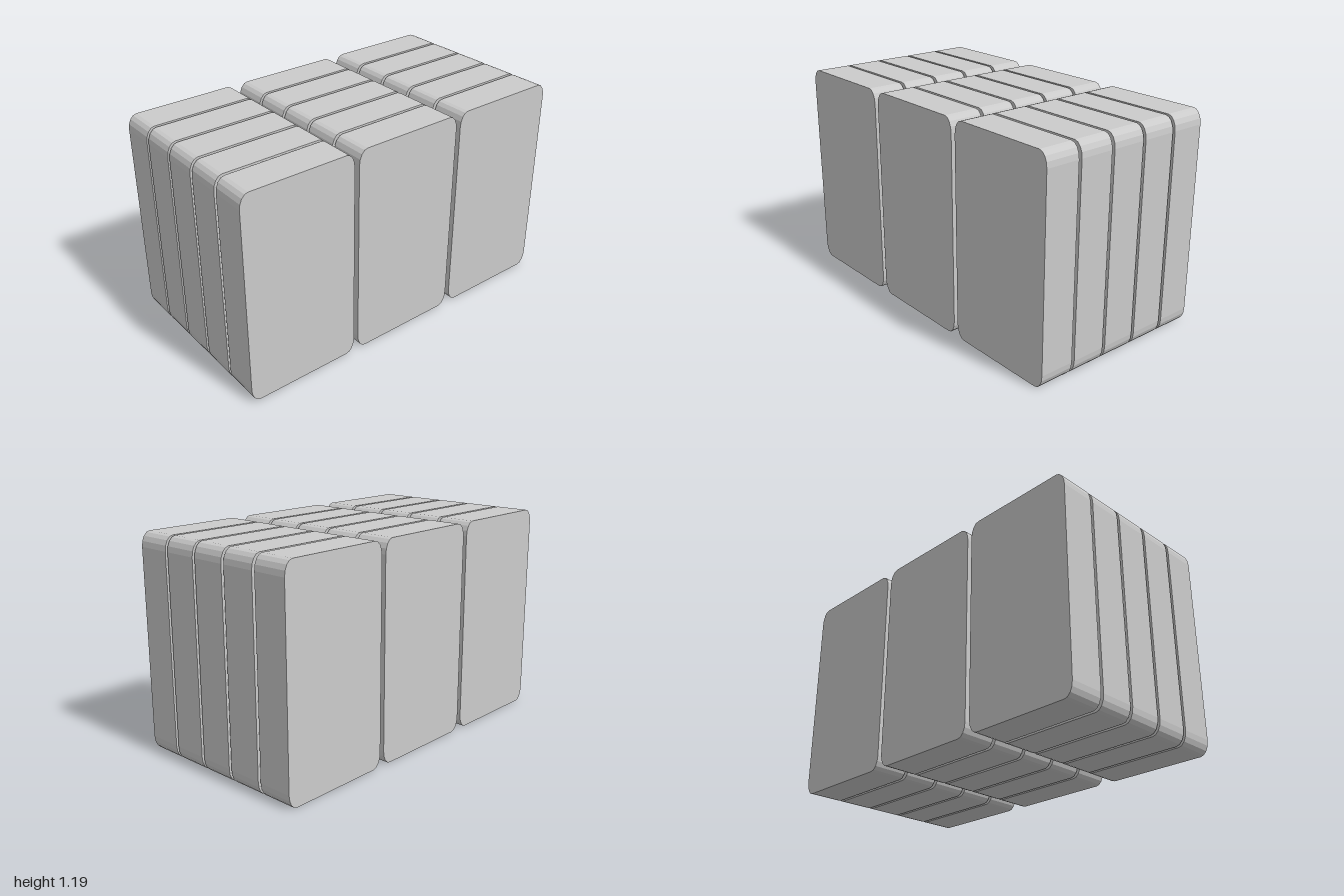
import * as THREE from 'three';

const COLUMNS = 5, ROWS = 3;
const WIDTH = 0.195, HEIGHT = 1.19, DEPTH = 0.648;
const PITCH_X = 0.2125, PITCH_Z = 0.676;
const CORNER_Z = 0.05, CORNER_Y = 0.078;

// Slab profile: a rectangle with faceted elliptical corners, extruded across x
function slabGeometry() {
  const cz = DEPTH / 2 - CORNER_Z, cy = HEIGHT / 2 - CORNER_Y;
  const points = [];
  [[1, 1], [-1, 1], [-1, -1], [1, -1]].forEach(([sz, sy], corner) => {
    for (let i = 0; i <= 4; i++) {
      const a = (corner + i / 4) * Math.PI / 2;
      points.push(new THREE.Vector2(sz * cz + CORNER_Z * Math.cos(a), sy * cy + CORNER_Y * Math.sin(a)));
    }
  });
  const geometry = new THREE.ExtrudeGeometry(new THREE.Shape(points), { depth: WIDTH, bevelEnabled: false });
  geometry.translate(0, HEIGHT / 2, -WIDTH / 2);
  geometry.rotateY(Math.PI / 2);
  return geometry;
}

export function createModel() {
  const model = new THREE.Group();
  model.name = 'slabBlock';
  const material = new THREE.MeshStandardMaterial({ color: 0xcccccc, flatShading: true });
  const geometry = slabGeometry();

  // Three rows of five separate slabs
  for (let r = 0; r < ROWS; r++) {
    const row = new THREE.Group();
    row.name = `slabRow${r + 1}`;
    row.position.z = (r - (ROWS - 1) / 2) * PITCH_Z;
    for (let c = 0; c < COLUMNS; c++) {
      const slab = new THREE.Mesh(geometry, material);
      slab.name = `slab${c + 1}`;
      slab.position.x = (c - (COLUMNS - 1) / 2) * PITCH_X;
      row.add(slab);
    }
    model.add(row);
  }
  return model;
}
